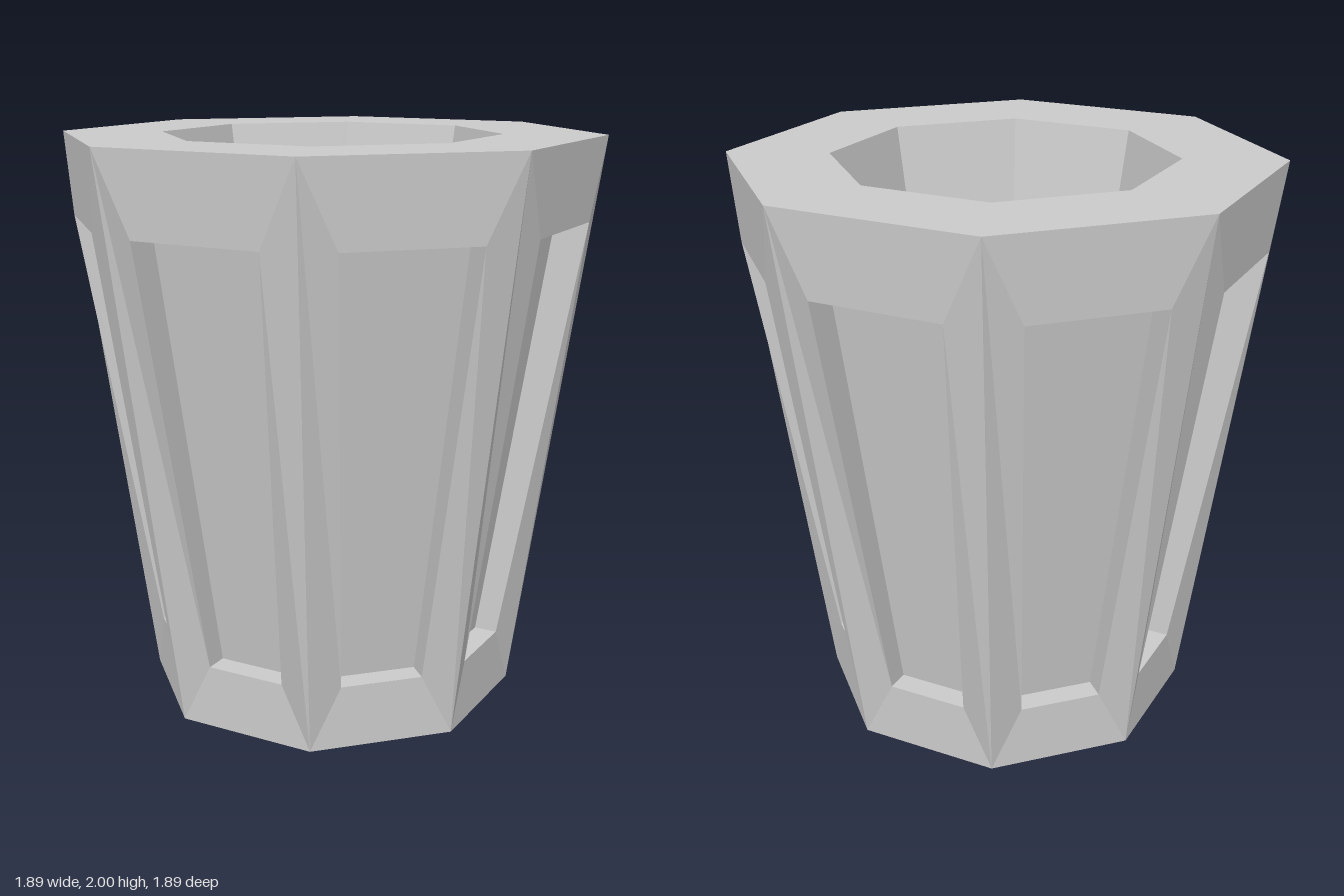
import * as THREE from 'three';

const SIDES = 8;
const HALF = Math.PI / SIDES;
const material = new THREE.MeshStandardMaterial({ color: 0xcccccc, flatShading: true });

// Flat-shaded mesh from quads, corners counter-clockwise seen from outside
function quadMesh(name, quads) {
  const positions = [];
  for (const [a, b, c, d] of quads) {
    for (const p of [a, b, c, a, c, d]) positions.push(...p);
  }
  const geometry = new THREE.BufferGeometry();
  geometry.setAttribute('position', new THREE.Float32BufferAttribute(positions, 3));
  geometry.computeVertexNormals();
  const mesh = new THREE.Mesh(geometry, material);
  mesh.name = name;
  return mesh;
}

// Four corners of one side, facing +z: bottom left, bottom right, top right, top left
function sideCorners(bottom, top) {
  return [
    [-bottom.half, bottom.y, bottom.dist],
    [bottom.half, bottom.y, bottom.dist],
    [top.half, top.y, top.dist],
    [-top.half, top.y, top.dist],
  ];
}

// Edge of an octagon with the given corner radius
const edge = (radius, y) => ({ half: radius * Math.sin(HALF), dist: radius * Math.cos(HALF), y });

// Quads joining two loops of four corners
const bridge = (outer, inner) => outer.map((p, i) => {
  const j = (i + 1) % 4;
  return [p, outer[j], inner[j], inner[i]];
});

// A flat octagon or octagonal ring, corners on the axes
function flatOctagon(name, inner, outer, y, facing) {
  const geometry = inner > 0
    ? new THREE.RingGeometry(inner, outer, SIDES)
    : new THREE.CircleGeometry(outer, SIDES);
  const mesh = new THREE.Mesh(geometry, material);
  mesh.rotation.x = -facing * Math.PI / 2;
  mesh.position.y = y;
  mesh.name = name;
  return mesh;
}

export function createModel() {
  const model = new THREE.Group();
  model.name = 'octagonalPot';

  const height = 2, bottomRadius = 0.66, topRadius = 0.943;
  const holeRadius = 0.59, floorRadius = 0.385, floorY = 0.85;

  const body = sideCorners(edge(bottomRadius, 0), edge(topRadius, height));
  const opening = sideCorners(
    { half: 0.143, dist: 0.608, y: 0.22 },
    { half: 0.23, dist: 0.86, y: 1.72 });
  const panel = sideCorners(
    { half: 0.143, dist: 0.526, y: 0.22 },
    { half: 0.23, dist: 0.74, y: 1.72 });
  const cavity = sideCorners(edge(floorRadius, floorY), edge(holeRadius, height)).reverse();

  // Eight identical sides: frame, recess, sunken panel and cavity wall
  for (let i = 0; i < SIDES; i++) {
    const side = new THREE.Group();
    side.name = `side${i + 1}`;
    side.add(
      quadMesh('frame', bridge(body, opening)),
      quadMesh('recessWalls', bridge(opening, panel)),
      quadMesh('sunkenPanel', [panel]),
      quadMesh('cavityWall', [cavity]));
    side.rotation.y = HALF * (2 * i + 1);
    model.add(side);
  }

  // Top rim, cavity floor and underside
  model.add(
    flatOctagon('rim', holeRadius, topRadius, height, 1),
    flatOctagon('cavityFloor', 0, floorRadius, floorY, 1),
    flatOctagon('base', 0, bottomRadius, 0, -1));

  return model;
}
